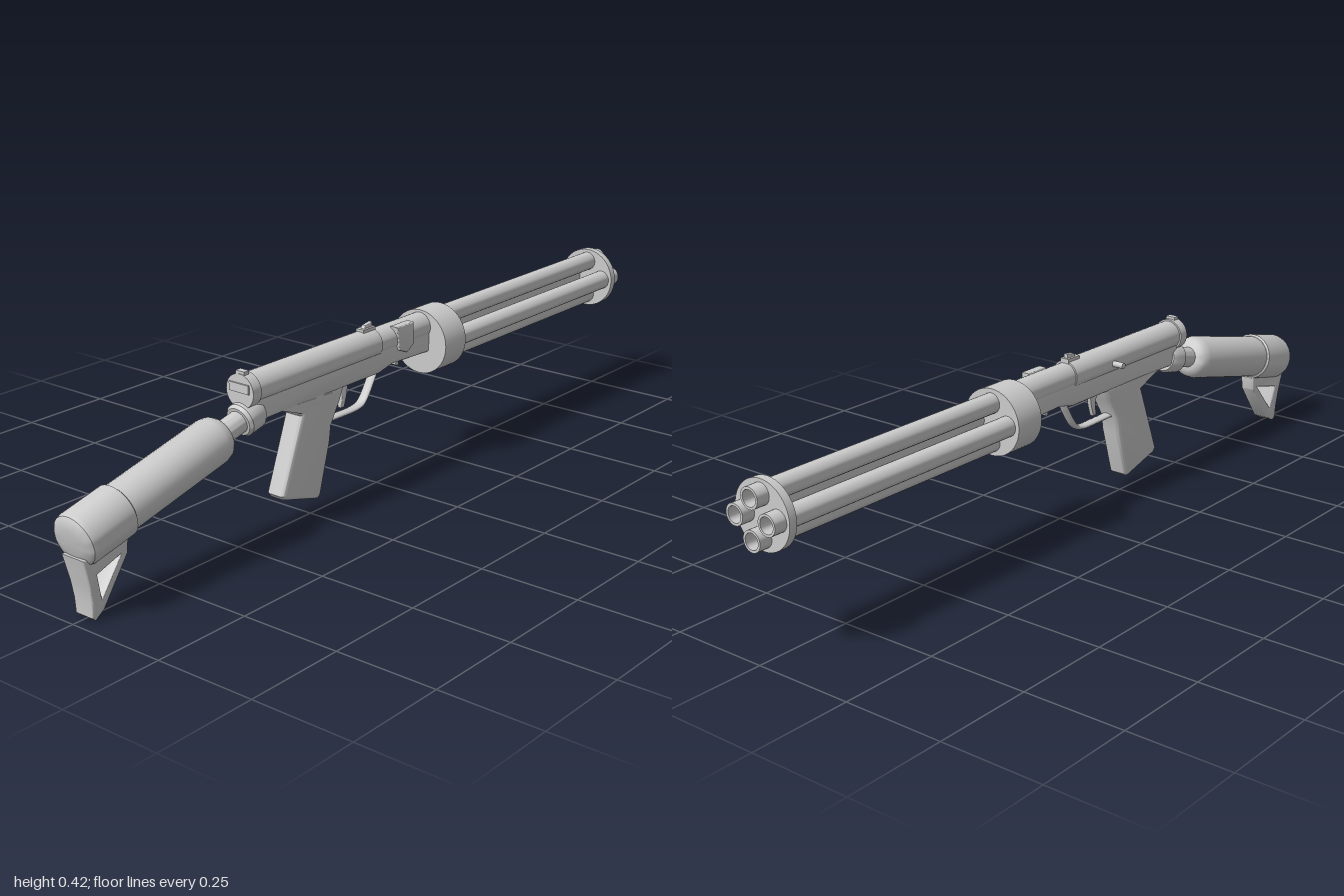
import * as THREE from 'three';
import { toCreasedNormals } from 'three/addons/utils/BufferGeometryUtils.js';

const grey = new THREE.MeshStandardMaterial({ color: 0xcccccc });

function add(parent, name, geometry, x = 0, y = 0, z = 0) {
  const mesh = new THREE.Mesh(geometry, grey);
  mesh.name = name;
  mesh.position.set(x, y, z);
  parent.add(mesh);
  return mesh;
}

// Turned part: [radius, distance along axis] pairs, lying along local +y
function turned(points, segments = 32) {
  const pts = points.map(([r, t]) => new THREE.Vector2(r, t));
  return toCreasedNormals(new THREE.LatheGeometry(pts, segments), 0.6);
}

// Solid rod along z between two stations
function rod(r, z0, z1, segments = 32) {
  return turned([[0, z0], [r, z0], [r, z1], [0, z1]], segments).rotateX(Math.PI / 2);
}

// Side profile of [z, y] points, given a width in x with rounded edges
function sideCut(points, width, bevel = 0.004, hole = null) {
  const toVectors = (list) => list.map(([z, y]) => new THREE.Vector2(z, y));
  const shape = new THREE.Shape(toVectors(points));
  if (hole) shape.holes.push(new THREE.Path(toVectors(hole)));
  const depth = width - 2 * bevel;
  const geo = new THREE.ExtrudeGeometry(shape, {
    depth, bevelEnabled: bevel > 0, bevelSize: bevel, bevelOffset: -bevel,
    bevelThickness: bevel, bevelSegments: 4,
  });
  geo.translate(0, 0, -depth / 2).rotateY(-Math.PI / 2);
  return toCreasedNormals(geo, 0.6);
}

export function createModel() {
  const model = new THREE.Group();
  model.name = 'fourBarrelShotgun';

  // Barrel cluster: four open tubes in a diamond, a collar and a muzzle disc
  const barrels = new THREE.Group();
  barrels.name = 'barrelCluster';
  barrels.position.y = 0.327;
  model.add(barrels);
  const barrelGeo = turned([[0, 0], [0.025, 0], [0.025, 0.8], [0.019, 0.8], [0.019, 0.6], [0, 0.6]], 24)
    .rotateX(-Math.PI / 2);
  for (let i = 0; i < 4; i++) {
    const a = i * Math.PI / 2;
    add(barrels, 'barrel', barrelGeo, Math.cos(a) * 0.047, Math.sin(a) * 0.047, -0.2);
  }
  add(barrels, 'collar', rod(0.082, -0.255, -0.172, 40));
  add(barrels, 'muzzleDisc', rod(0.08, -0.968, -0.948, 40));

  // Receiver: round upper tube on a slimmer lower housing
  const receiver = new THREE.Group();
  receiver.name = 'receiver';
  model.add(receiver);
  add(receiver, 'upperTube', rod(0.037, 0.02, 0.465), 0, 0.371);
  add(receiver, 'forwardTube', rod(0.034, -0.18, 0.03), 0, 0.369);
  add(receiver, 'lowerHousing', sideCut([
    [0.46, 0.36], [0.46, 0.295], [0.3, 0.297], [0.02, 0.297], [-0.03, 0.308],
    [-0.18, 0.303], [-0.18, 0.37], [0, 0.37],
  ], 0.06, 0.012));
  add(receiver, 'endCap', rod(0.041, 0.455, 0.482), 0, 0.371);
  add(receiver, 'endCapPlate', new THREE.BoxGeometry(0.058, 0.021, 0.008), 0, 0.38, 0.482);
  add(receiver, 'capLatch', new THREE.BoxGeometry(0.026, 0.012, 0.016), 0, 0.412, 0.472);

  // Ejection cover on the left, cocking lever on the right
  add(receiver, 'ejectionCover', sideCut([
    [-0.035, 0.402], [-0.1, 0.402], [-0.1, 0.345], [-0.075, 0.33], [-0.045, 0.342],
  ], 0.024, 0.003), 0.026);
  const lever = add(receiver, 'cockingLever', new THREE.CylinderGeometry(0.0075, 0.0075, 0.045, 16), -0.044, 0.37, 0.17);
  lever.rotation.z = Math.PI / 2;
  const pin = add(receiver, 'housingPin', new THREE.CylinderGeometry(0.006, 0.006, 0.024, 12), 0, 0.299, -0.067);
  pin.rotation.z = Math.PI / 2;

  // Raised sight
  add(receiver, 'sightBase', new THREE.BoxGeometry(0.024, 0.012, 0.045), 0, 0.408, 0.04);
  add(receiver, 'sightBlade', sideCut([[0.022, 0.405], [0.022, 0.425], [0.048, 0.421], [0.06, 0.405]], 0.012, 0.002));

  // Pistol grip
  add(model, 'grip', sideCut([
    [0.4, 0.306], [0.325, 0.292], [0.306, 0.268], [0.374, 0.088], [0.365, 0.077],
    [0.25, 0.045], [0.24, 0.052], [0.204, 0.175], [0.198, 0.215], [0.165, 0.27],
    [0.15, 0.306],
  ], 0.056, 0.012));

  // Trigger and its guard
  const guardPath = new THREE.CatmullRomCurve3([
    [0.2, 0.222], [0.15, 0.221], [0.08, 0.222], [0.058, 0.23], [0.02, 0.283], [0.008, 0.305],
  ].map(([z, y]) => new THREE.Vector3(0, y, z)));
  add(model, 'triggerGuard', new THREE.TubeGeometry(guardPath, 32, 0.006, 10).scale(2.2, 1, 1));
  add(model, 'trigger', sideCut([
    [0.145, 0.305], [0.136, 0.265], [0.14, 0.238], [0.128, 0.238], [0.119, 0.265], [0.112, 0.305],
  ], 0.012, 0.002));

  // Stock, sloping down from the receiver
  const stock = new THREE.Group();
  stock.name = 'stock';
  stock.position.set(0, 0.287, 0.55);
  stock.rotation.x = 1.806;
  model.add(stock);
  add(stock, 'stockBracket', turned([[0, -0.12], [0.035, -0.12], [0.04, -0.11], [0.04, -0.07], [0.034, -0.062], [0, -0.062]]));
  add(stock, 'stockTube', turned([[0, -0.1], [0.027, -0.1], [0.027, 0.02], [0, 0.02]]));
  add(stock, 'stockBody', turned([
    [0, -0.005], [0.034, -0.005], [0.045, 0.001], [0.052, 0.011], [0.056, 0.028], [0.056, 0.34], [0, 0.34],
  ]));
  add(stock, 'buttCap', turned([
    [0, 0.318], [0.057, 0.318], [0.062, 0.322], [0.062, 0.432], [0.059, 0.444],
    [0.051, 0.451], [0.03, 0.455], [0, 0.456],
  ], 40));

  // Open triangular toe below the butt, tapering in width toward its tip
  const toe = sideCut([
    [0.991, 0.15], [0.975, 0.085], [0.969, 0.045], [0.968, 0.01], [0.958, 0.002], [0.93, 0.016],
    [0.855, 0.118], [0.852, 0.155],
  ], 0.066, 0.005, [[0.952, 0.106], [0.876, 0.122], [0.938, 0.045]]);
  const p = toe.attributes.position;
  for (let i = 0; i < p.count; i++) {
    const taper = THREE.MathUtils.mapLinear(p.getY(i), 0, 0.15, 0.8, 1.05);
    const frontNarrowing = 1 - 0.4 * THREE.MathUtils.smoothstep(0.96 - p.getZ(i), 0, 0.06);
    p.setX(i, p.getX(i) * taper * frontNarrowing);
  }
  add(model, 'buttToe', toCreasedNormals(toe, 0.6));

  return model;
}
